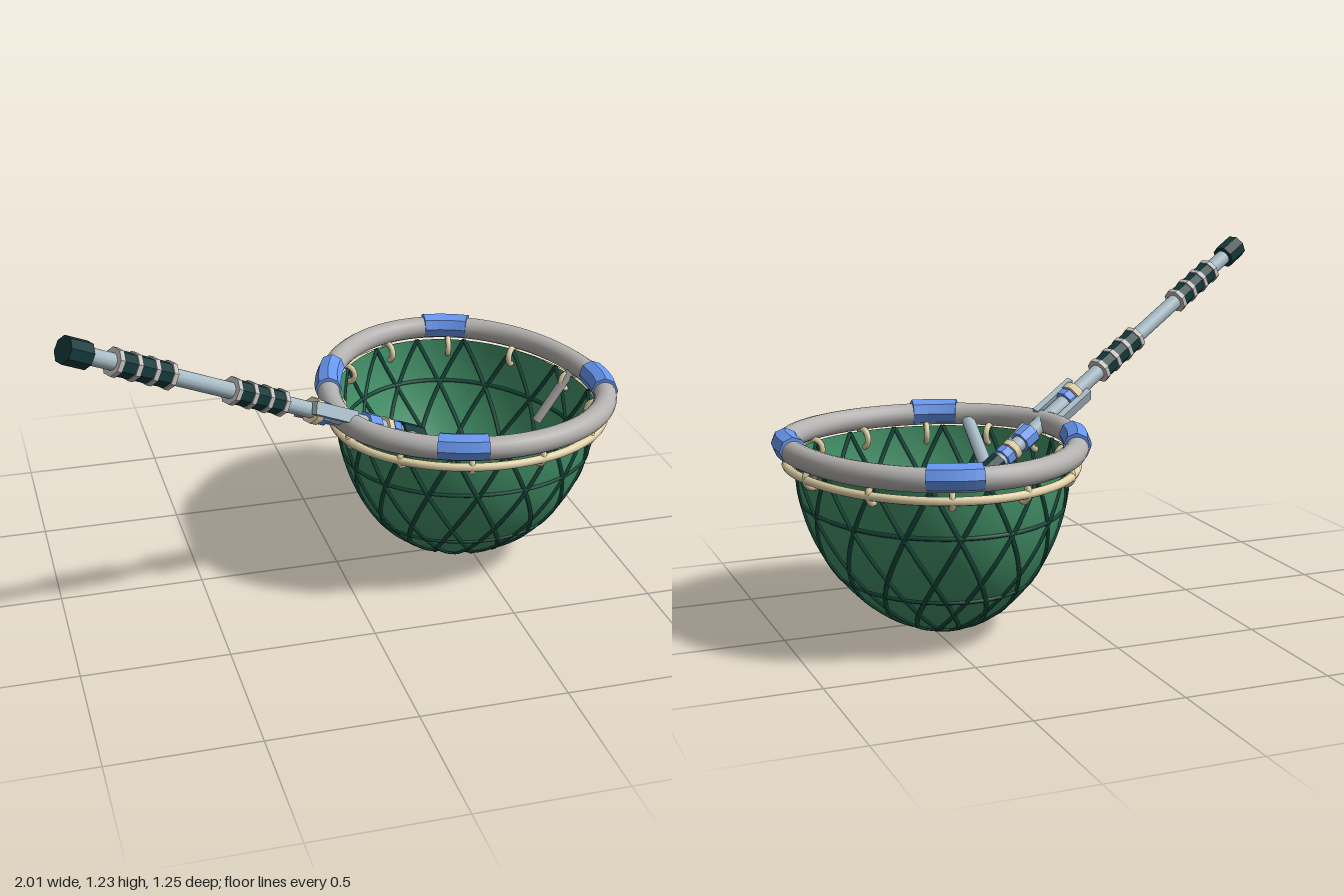
import * as THREE from 'three';
import { ParametricGeometry } from 'three/addons/geometries/ParametricGeometry.js';

const TAU = Math.PI * 2;
const V = (x, y, z) => new THREE.Vector3(x, y, z);
const mat = (color, flatShading = false) =>
  new THREE.MeshStandardMaterial({ color, flatShading, side: THREE.DoubleSide });

const M = {
  net: mat(0x44936a), cord: mat(0x174a3c), rim: mat(0xb4b2b0), beige: mat(0xe6d6ac),
  blue: mat(0x6797f0, true), pole: mat(0xa9bdc7), grip: mat(0x14383a, true), band: mat(0xc4c2bf, true),
};

// Egg-shaped outline, wider toward the front, scaled about the basket centre
const CX = 0.465, CZ = -0.05;
function outline(a, k, y) {
  const s = Math.sin(a);
  const dz = 0.11 + s * (s > 0 ? 0.42 : 0.64);
  return V(CX + 0.485 * Math.cos(a) * k, y, CZ + dz * k);
}

// Basket surface: a = angle round, p = 0 at the mouth to PI/2 at the bottom
const basket = (a, p) => outline(a, 0.94 * Math.cos(p), 0.6 - 0.592 * Math.sin(p));

function curveFrom(fn, n, closed) {
  const pts = [];
  for (let i = 0; i < (closed ? n : n + 1); i++) pts.push(fn(i / n));
  return new THREE.CatmullRomCurve3(pts, closed);
}

export function createModel() {
  const model = new THREE.Group();
  const add = (name, geo, material, parent = model) => {
    const m = new THREE.Mesh(geo, material);
    m.name = name;
    parent.add(m);
    return m;
  };
  const group = (name) => {
    const g = new THREE.Group();
    g.name = name;
    model.add(g);
    return g;
  };
  const loop = (name, fn, r, material, parent, sides = 8) =>
    add(name, new THREE.TubeGeometry(curveFrom((t) => fn(t * TAU), 40, true), 80, r, sides, true), material, parent);
  // Straight round bar between two points
  const bar = (name, a, b, r, material, parent, sides = 8) => {
    const m = add(name, new THREE.CylinderGeometry(r, r, a.distanceTo(b), sides), material, parent);
    m.position.copy(a).lerp(b, 0.5);
    m.quaternion.setFromUnitVectors(V(0, 1, 0), b.clone().sub(a).normalize());
    return m;
  };

  // Net basket
  add('basket', new ParametricGeometry((u, v, t) => t.copy(basket(u * TAU, v * 1.565)), 64, 24), M.net);

  // Crossing cords and level cords
  const cords = group('netCords');
  const N = 16;
  for (let i = 0; i < N; i++) {
    for (const dir of [-1, 1]) {
      const c = curveFrom((t) => basket((i / N) * TAU + dir * t * 1.0, t * 1.54), 16, false);
      add('diagonalCord', new THREE.TubeGeometry(c, 32, 0.008, 6), M.cord, cords);
    }
  }
  for (const p of [0.28, 0.76, 1.3, 1.39, 1.47]) loop('levelCord', (a) => basket(a, p), 0.008, M.cord, cords, 6);

  // Rim tube and the hanging ring beneath it
  loop('rim', (a) => outline(a, 1, 0.638), 0.04, M.rim, model, 16);
  loop('hangingRing', (a) => outline(a, 1, 0.57), 0.015, M.beige, model);

  // Small links tying the basket to the hanging ring
  const links = group('links');
  for (let i = 0; i < 12; i++) {
    const a = ((i + 0.5) / 12) * TAU;
    const m = add('link', new THREE.TorusGeometry(0.032, 0.011, 6, 14), M.beige, links);
    m.position.copy(outline(a, 0.945, 0.573));
    const d = outline(a, 1, 0).sub(V(CX, 0, CZ));
    m.rotation.y = -Math.atan2(d.z, d.x);
  }

  // Padded wraps: closed cylinders bent along the rim
  const wraps = group('rimWraps');
  for (const a0 of [3.56, -1.33, 0.08, 1.9]) {
    const g = new THREE.CylinderGeometry(0.047, 0.047, 2, 8, 6);
    const pos = g.attributes.position;
    for (let i = 0; i < pos.count; i++) {
      const a = a0 + pos.getY(i) * 0.17;
      const p = outline(a, 1, 0.645);
      const t = outline(a + 0.01, 1, 0).sub(outline(a - 0.01, 1, 0)).normalize();
      p.addScaledVector(V(t.z, 0, -t.x), pos.getX(i));
      p.y -= pos.getZ(i);
      pos.setXYZ(i, p.x, p.y, p.z);
    }
    g.computeVertexNormals();
    add('rimWrap', g, M.blue, wraps);
  }

  // Handle, built along +y from its outer tip and laid on its slanted axis
  const tip = V(-0.955, 1.17, 0.565), inner = V(0.28, 0.49, 0.03);
  const len = tip.distanceTo(inner);
  const handle = group('handle');
  handle.position.copy(tip);
  handle.quaternion.setFromUnitVectors(V(0, 1, 0), inner.clone().sub(tip).normalize());
  const sleeve = (name, s0, s1, r, material, sides = 8) =>
    bar(name, V(0, s0, 0), V(0, s1, 0), r, material, handle, sides);

  sleeve('pole', 0, len, 0.028, M.pole, 12);
  sleeve('endCap', -0.04, 0.045, 0.045, M.grip);
  sleeve('innerCap', len - 0.09, len + 0.02, 0.038, M.grip);
  for (const s of [0.15, 0.63]) {
    sleeve('grip', s, s + 0.21, 0.042, M.grip);
    for (const d of [0, 0.07, 0.14, 0.21]) sleeve('gripBand', s + d - 0.009, s + d + 0.009, 0.047, M.band);
  }
  sleeve('collar', 0.985, 1.015, 0.046, M.beige);
  sleeve('collarWrap', 1.02, 1.05, 0.042, M.blue);
  sleeve('innerWrap', 1.24, 1.3, 0.04, M.blue);
  sleeve('innerCollar', 1.335, 1.36, 0.04, M.beige);
  sleeve('innerWrap', 1.365, 1.4, 0.038, M.blue);

  // Clamp cheeks gripping the rim on both sides of the pole
  for (const side of [-1, 1]) {
    const m = add('clampCheek', new THREE.BoxGeometry(0.022, 0.2, 0.045), M.pole, handle);
    m.position.set(0, 1.06, side * 0.043);
    m.rotation.y = Math.PI / 2;
  }

  // Braces from the handle's inner end out to the rim
  const braces = group('braces');
  bar('frontBrace', V(0.25, 0.5, 0.05), V(0.2, 0.62, 0.4), 0.025, M.pole, braces);
  bar('sideBrace', V(0.24, 0.5, 0.06), V(0.03, 0.62, 0.23), 0.022, M.pole, braces);

  // Short stays sloping down from the rim into the basket
  for (const side of [-1, 1]) {
    bar('stay', V(CX + side * 0.455, 0.62, -0.1), V(CX + side * 0.33, 0.42, -0.11), 0.018, M.rim, braces);
  }

  return model;
}
